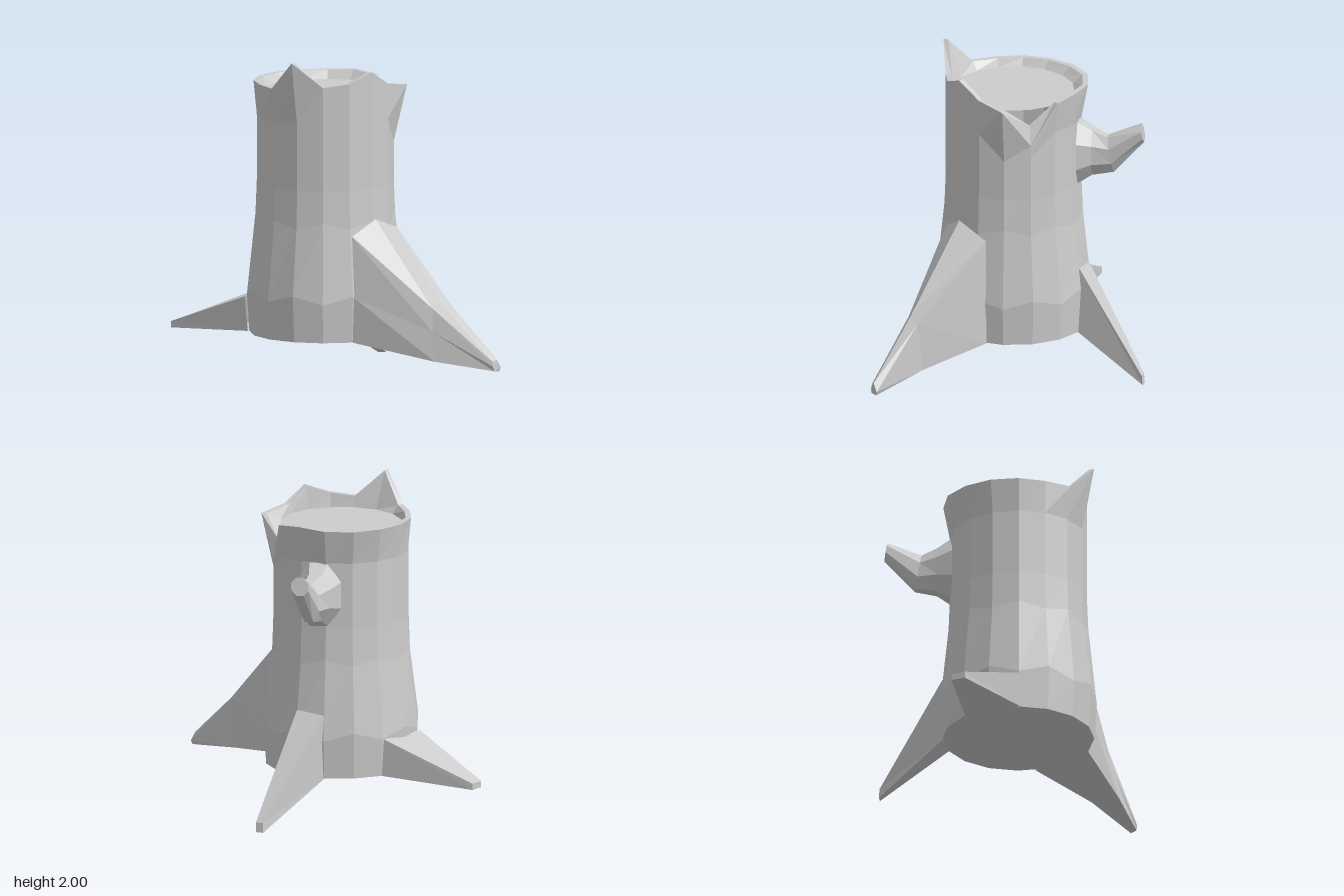
import * as THREE from 'three';

const N = 16, CZ = -0.17;
const bark = new THREE.MeshStandardMaterial({ color: 0xcccccc, flatShading: true, side: THREE.DoubleSide });
bark.name = 'barkGrey';

// Skins a list of equal-length point rings, wound counter-clockwise seen from the last ring
function loft(name, rings, capStart, capEnd) {
  const n = rings[0].length, index = [];
  for (let i = 0; i < rings.length - 1; i++) {
    for (let k = 0; k < n; k++) {
      const a = i * n + k, b = i * n + (k + 1) % n;
      index.push(a, b, b + n, a, b + n, a + n);
    }
  }
  const last = (rings.length - 1) * n;
  for (let k = 1; k < n - 1; k++) {
    if (capStart) index.push(0, k + 1, k);
    if (capEnd) index.push(last, last + k, last + k + 1);
  }
  const geo = new THREE.BufferGeometry();
  geo.setAttribute('position', new THREE.Float32BufferAttribute(rings.flat(2), 3));
  geo.setIndex(index);
  const flat = geo.toNonIndexed();
  flat.computeVertexNormals();
  const mesh = new THREE.Mesh(flat, bark);
  mesh.name = name;
  return mesh;
}

// Trunk ring; radius and height may vary with the side number
function ring(radius, height) {
  return Array.from({ length: N }, (_, k) => {
    const t = k / N * Math.PI * 2, r = radius(k);
    return [r * Math.sin(t), height(k), CZ + r * Math.cos(t)];
  });
}

// Oval branch section, w and h are half sizes
function oval(x, y, z, w, h, tilt = 0) {
  return Array.from({ length: 8 }, (_, k) => {
    const a = (k + 0.5) / 8 * Math.PI * 2, c = Math.cos(a) / 0.924, s = Math.sin(a) / 0.924;
    return [x - w * c, y + h * s, z - w * 0.4 * c + tilt * s];
  });
}

export function createModel() {
  const model = new THREE.Group();
  model.name = 'treeStump';

  // Broken rim: heights and radii around the trunk, starting at the front
  const rimY = [1.86, 1.92, 1.83, 1.80, 1.55, 1.81, 1.83, 1.82, 1.82, 1.82, 1.82, 1.82, 1.82, 1.82, 2.0, 1.84];
  const rimR = [0.42, 0.42, 0.42, 0.50, 0.42, 0.45, 0.45, 0.46, 0.47, 0.46, 0.45, 0.44, 0.43, 0.45, 0.50, 0.42];
  const lipY = k => (k === 4 ? 1.67 : rimY[k]);

  // Outer bark with the underside
  model.add(loft('trunk', [
    ring(() => 0.465, () => 0.265),
    ring(() => 0.48, k => (k % 2 ? 0.5 : 0.55)),
    ring(() => 0.428, k => (k % 2 ? 1.0 : 0.96)),
    ring(() => 0.42, () => 1.2),
    ring(() => 0.42, k => (k === 4 ? 1.48 : k === 3 ? 1.45 : 1.61)),
    ring(k => rimR[k], k => rimY[k]),
  ], true, false));

  // Rim edge and inner wall
  model.add(loft('rim', [
    ring(k => rimR[k], k => rimY[k]),
    ring(k => rimR[k] - 0.035, lipY),
    ring(() => 0.375, k => Math.min(1.77, lipY(k))),
    ring(() => 0.37, () => 1.5),
  ], false, false));

  // Cut wood surface
  const cut = new THREE.Mesh(new THREE.CircleGeometry(0.376, N), bark);
  cut.name = 'cutSurface';
  cut.rotation.x = -Math.PI / 2;
  cut.position.set(0, 1.77, CZ);
  model.add(cut);

  // Large front root
  model.add(loft('frontRoot', [
    [[0, 0.265, 0.29], [0.38, 0.265, 0.10], [0.37, 0.93, 0.10], [0.18, 1.01, 0.22], [0, 0.93, 0.25], [0, 0.55, 0.30]],
    [[0.40, 0.18, 0.67], [0.53, 0.19, 0.54], [0.55, 0.50, 0.58], [0.47, 0.53, 0.60], [0.41, 0.50, 0.60], [0.40, 0.36, 0.63]],
    [[0.70, 0.14, 0.91], [0.74, 0.135, 0.89], [0.75, 0.16, 0.89], [0.72, 0.21, 0.90], [0.69, 0.20, 0.90], [0.69, 0.17, 0.91]],
  ], false, true));

  // Back roots, each a tapering wedge
  model.add(loft('backLeftRoot', [
    [[0.33, 0.265, -0.49], [0.17, 0.265, -0.59], [0.18, 0.66, -0.60], [0.33, 0.68, -0.50]],
    [[0.64, 0, -0.82], [0.60, 0, -0.845], [0.60, 0.06, -0.84], [0.64, 0.06, -0.815]],
  ], false, true));
  model.add(loft('backRightRoot', [
    [[-0.18, 0.265, -0.60], [-0.44, 0.265, -0.35], [-0.46, 0.48, -0.35], [-0.19, 0.50, -0.62]],
    [[-0.69, 0.23, -0.905], [-0.755, 0.23, -0.845], [-0.755, 0.27, -0.845], [-0.69, 0.27, -0.905]],
  ], false, true));

  // Broken branch bending upward behind
  model.add(loft('branch', [
    oval(0.20, 1.41, -0.53, 0.13, 0.20),
    oval(0.235, 1.41, -0.61, 0.09, 0.145),
    oval(0.295, 1.405, -0.71, 0.06, 0.115, 0.02),
    oval(0.38, 1.555, -0.89, 0.05, 0.055, 0.01),
  ], false, true));

  return model;
}
